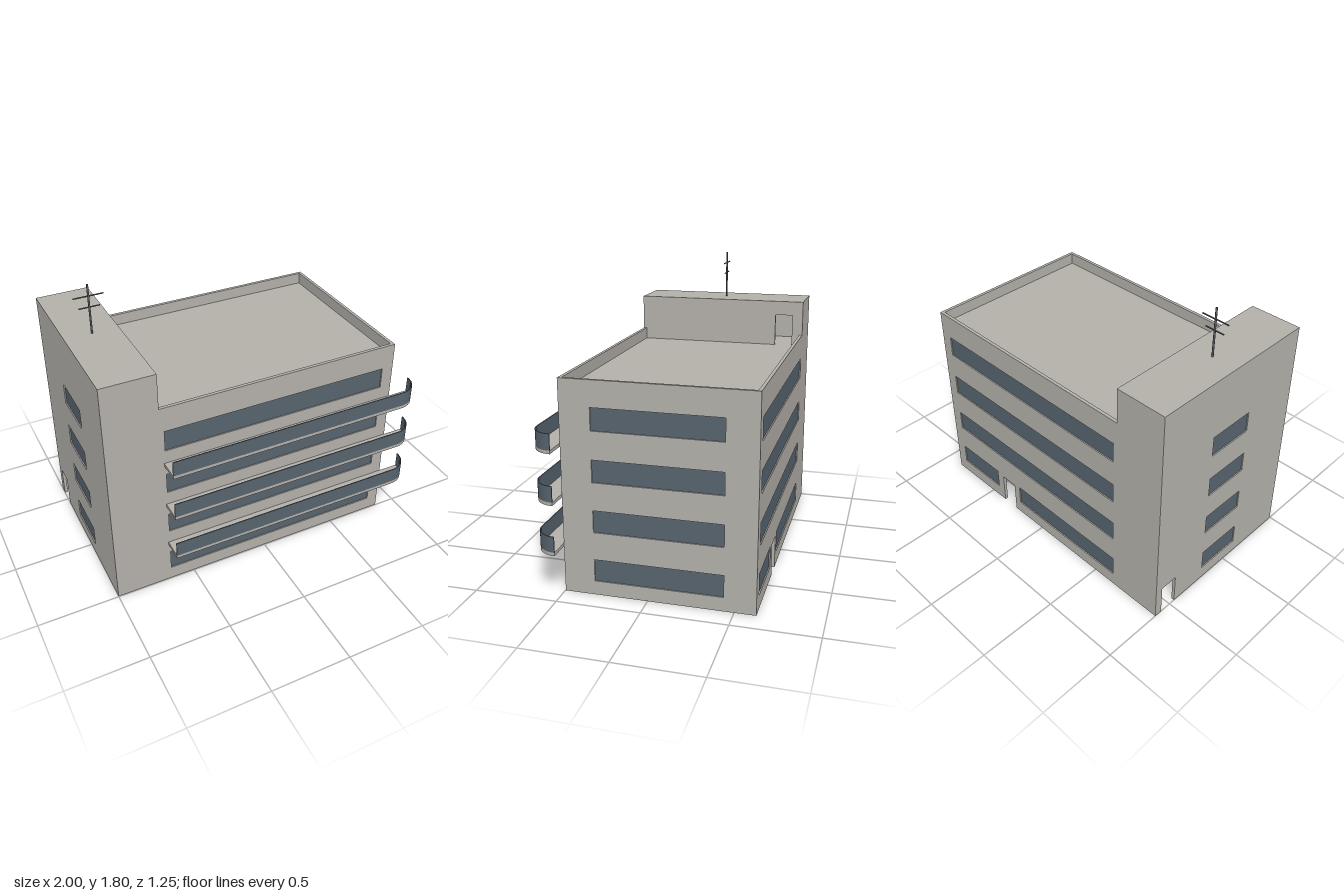
import * as THREE from 'three';

const T = 0.02;                                   // wall thickness
const X0 = -1, XT = -0.675, X1 = 0.865;           // left end, tower edge, right end
const Z0 = -0.625, Z1 = 0.497;                    // back, front
const ROOF = 1.2, PARAPET = 1.273, TOWER = 1.497;
const ROWS = [0.085, 0.385, 0.685, 0.985], WIN_H = 0.133;

export function createModel() {
  const model = new THREE.Group();
  model.name = 'building';
  const concrete = new THREE.MeshStandardMaterial({ color: 0xb3b0aa });
  concrete.name = 'concrete';
  const glass = new THREE.MeshStandardMaterial({ color: 0x56636e });
  glass.name = 'blueGreyGlass';
  const metal = new THREE.MeshStandardMaterial({ color: 0x5c5e60 });
  metal.name = 'darkMetal';

  const add = (parent, name, geo, mat, x = 0, y = 0, z = 0) => {
    const m = new THREE.Mesh(geo, mat);
    m.name = name;
    m.position.set(x, y, z);
    parent.add(m);
    return m;
  };
  const box = (parent, name, mat, xa, xb, ya, yb, za, zb) =>
    add(parent, name, new THREE.BoxGeometry(xb - xa, yb - ya, zb - za), mat,
      (xa + xb) / 2, (ya + yb) / 2, (za + zb) / 2);

  // Wall drawn in (u, y), pierced by windows [u0, u1, y0], with panes set in the middle
  const wall = (name, outline, windows) => {
    const g = new THREE.Group();
    g.name = name;
    const shape = new THREE.Shape(outline.map(([u, y]) => new THREE.Vector2(u, y)));
    for (const [a, b, y] of windows) {
      shape.holes.push(new THREE.Path([[a, y], [a, y + WIN_H], [b, y + WIN_H], [b, y]]
        .map(p => new THREE.Vector2(...p))));
      box(g, 'windowPane', glass, a, b, y, y + WIN_H, T / 2 - 0.003, T / 2 + 0.003);
    }
    add(g, name + 'Panel',
      new THREE.ExtrudeGeometry(shape, { depth: T, bevelEnabled: false }), concrete);
    model.add(g);
    return g;
  };
  const rows = (a, b, list = ROWS) => list.map(y => [a, b, y]);
  // Bottom edge notched by a doorway
  const door = (a, b, y0, y1) => [[a, y0], [a, y1], [b, y1], [b, y0]];

  // Long walls, stepping up to the stair tower
  const top = [[X1, 0], [X1, PARAPET], [XT, PARAPET], [XT, TOWER], [X0, TOWER]];
  wall('frontWall', [[X0, 0], ...top], rows(-0.65, 0.79)).position.z = Z1 - T;
  wall('backWall', [[X0, 0], ...door(0.257, 0.372, 0, 0.205), ...top],
    [...rows(-0.65, 0.79, ROWS.slice(1)), [-0.65, 0.208, ROWS[0]], [0.43, 0.79, ROWS[0]]]
  ).position.z = Z0;

  // End walls, turned so that u runs towards the back
  const ua = -Z1 + T, ub = -Z0 - T;
  const endWall = (name, x, y0, y1, doorway, windows) => {
    const w = wall(name, [[ua, y0], ...doorway, [ub, y0], [ub, y1], [ua, y1]], windows);
    w.rotation.y = Math.PI / 2;
    w.position.x = x;
  };
  endWall('leftEndWall', X1 - T, 0, PARAPET, [], rows(-0.315, 0.44));
  endWall('towerOuterWall', X0, 0, TOWER, door(0.46, 0.575, 0, 0.2), rows(-0.095, 0.21));
  endWall('towerRoofWall', XT - T, ROOF, TOWER, door(0.44, 0.555, ROOF, 1.405), []);

  // Roof deck and tower cap between the walls
  box(model, 'roofDeck', concrete, X0 + T, X1 - T, ROOF - T, ROOF, Z0 + T, Z1 - T);
  box(model, 'towerRoof', concrete, X0 + T, XT - T, TOWER - T, TOWER, Z0 + T, Z1 - T);

  // Balconies with one rounded corner; shape is drawn in (x, z)
  const BX = -0.66, R = 0.128, ZF = Z1 + R;
  const floor = new THREE.Shape();
  floor.moveTo(BX, Z1);
  floor.lineTo(1, Z1);
  floor.absarc(1 - R, Z1, R, 0, Math.PI / 2, false);
  floor.lineTo(BX, ZF);
  floor.closePath();
  const rail = new THREE.Shape();
  rail.moveTo(1, Z1);
  rail.absarc(1 - R, Z1, R, 0, Math.PI / 2, false);
  rail.lineTo(BX, ZF);
  rail.lineTo(BX, ZF - 0.006);
  rail.absarc(1 - R, Z1, R - 0.006, Math.PI / 2, 0, true);
  rail.closePath();
  const slab = (shape, h) => new THREE.ExtrudeGeometry(shape,
    { depth: h, bevelEnabled: false, curveSegments: 16 }).rotateX(Math.PI / 2);
  const floorGeo = slab(floor, 0.02), railGeo = slab(rail, 0.095);
  for (const y of [0.28, 0.58, 0.88]) {
    const balcony = new THREE.Group();
    balcony.name = 'balcony';
    balcony.position.y = y;
    add(balcony, 'balconyFloor', floorGeo, concrete, 0, 0.02);
    add(balcony, 'balconyRail', railGeo, glass, 0, 0.115);
    model.add(balcony);
  }

  // Roof antenna
  const antenna = new THREE.Group();
  antenna.name = 'antenna';
  antenna.position.set(-0.835, TOWER, -0.065);
  add(antenna, 'antennaMast', new THREE.CylinderGeometry(0.006, 0.006, 0.303, 8), metal, 0, 0.1515);
  for (const [y, len] of [[0.233, 0.175], [0.165, 0.122]]) {
    add(antenna, 'antennaBar', new THREE.CylinderGeometry(0.004, 0.004, len, 8), metal, 0, y)
      .rotation.z = Math.PI / 2;
  }
  model.add(antenna);
  return model;
}
